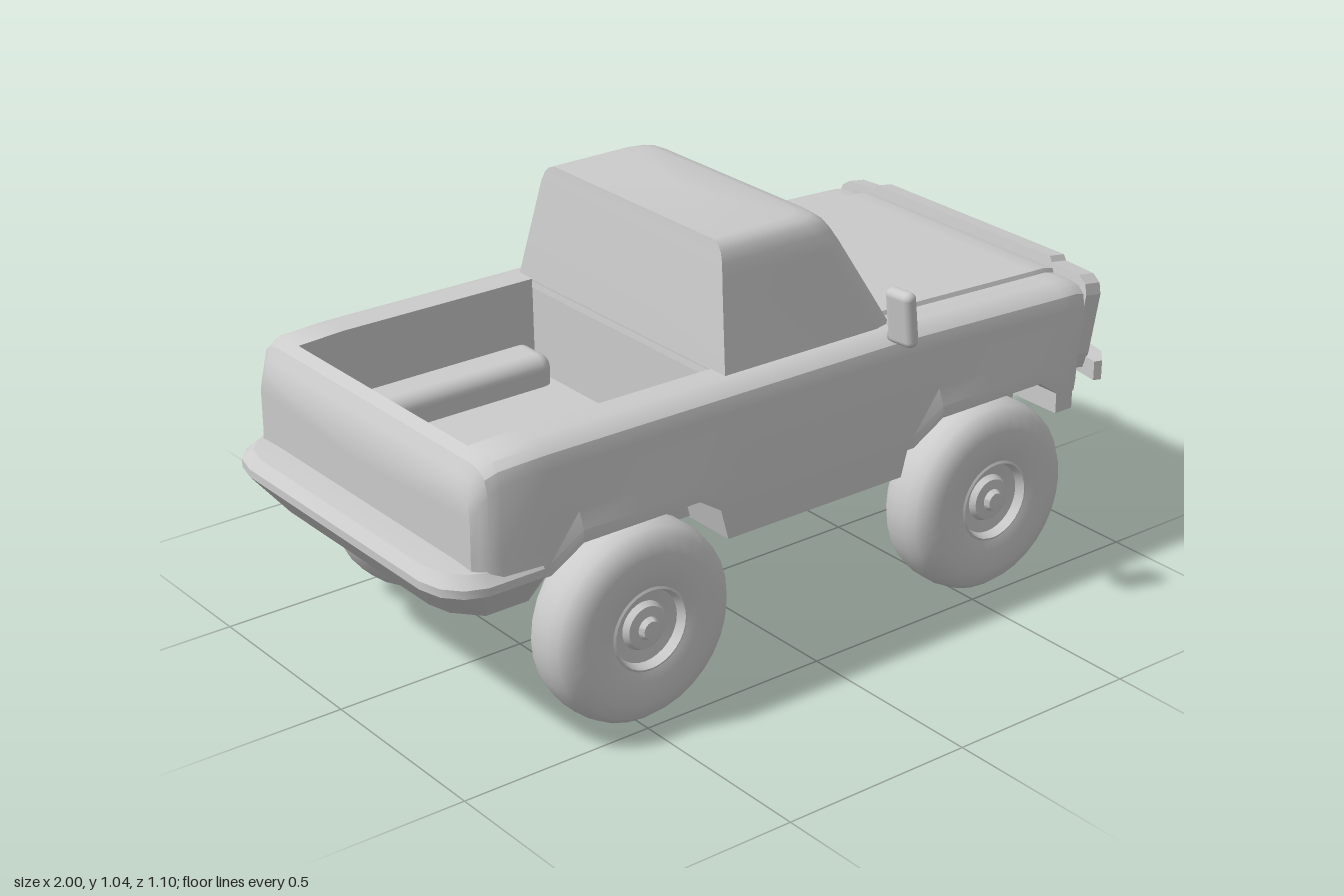
import * as THREE from 'three';
import { toCreasedNormals } from 'three/addons/utils/BufferGeometryUtils.js';
import { RoundedBoxGeometry } from 'three/addons/geometries/RoundedBoxGeometry.js';

const mat = new THREE.MeshStandardMaterial({ color: 0xcccccc });
const AXLES = [-0.485, 0.567];

function add(parent, name, geometry, x = 0, y = 0, z = 0) {
  const m = new THREE.Mesh(geometry, mat);
  m.name = name;
  m.position.set(x, y, z);
  parent.add(m);
  return m;
}

const box = (x0, x1, y0, y1, z0, z1) =>
  new THREE.BoxGeometry(x1 - x0, y1 - y0, z1 - z0).translate((x0 + x1) / 2, (y0 + y1) / 2, (z0 + z1) / 2);

// Skin over closed rings that run counter-clockwise about the direction of travel
function loft(rings, crease = 0.5) {
  const n = rings[0].length, index = [];
  for (let i = 0; i < rings.length - 1; i++) {
    for (let j = 0; j < n; j++) {
      const a = i * n + j, b = i * n + (j + 1) % n;
      index.push(a, b, a + n, b, b + n, a + n);
    }
  }
  const g = new THREE.BufferGeometry();
  g.setAttribute('position', new THREE.Float32BufferAttribute(rings.flat(2), 3));
  g.setIndex(index);
  return toCreasedNormals(g, crease);
}

// Linear interpolation in a list of [x, value]
function lerpTable(t, x) {
  if (x <= t[0][0]) return t[0][1];
  for (let i = 1; i < t.length; i++) {
    if (x <= t[i][0]) return THREE.MathUtils.mapLinear(x, t[i - 1][0], t[i][0], t[i - 1][1], t[i][1]);
  }
  return t[t.length - 1][1];
}

const shapeOf = pts => new THREE.Shape(pts.map(p => new THREE.Vector2(...p)));
const mirrored = half => [...half, ...half.map(([z, y]) => [-z, y]).reverse()];

// Plate drawn in (z, y), its thickness running back from its front plane
function plate(pts, depth, hole) {
  const s = shapeOf(pts);
  if (hole) s.holes.push(shapeOf(hole));
  return new THREE.ExtrudeGeometry(s, { depth, bevelEnabled: false }).rotateY(-Math.PI / 2);
}

// Body section at x, with raised wheel arches and an open bed
const lipTable = AXLES.flatMap(c => [[c - 0.25, 0.45], [c - 0.17, 0.51], [c + 0.15, 0.51], [c + 0.24, 0.45]]);
const topTable = [[-0.915, 0.68], [-0.885, 0.735], [-0.845, 0.755], [0.3, 0.748], [0.85, 0.725], [0.9, 0.71]];
const widthTable = [[-0.915, 0.92], [-0.885, 0.975], [-0.845, 1], [0.84, 1], [0.89, 0.985]];

function bodySection(x) {
  const lip = lerpTable(lipTable, x), R = lerpTable(topTable, x), w = lerpTable(widthTable, x);
  const flare = (lip - 0.45) * 0.2;
  const inBed = x > -0.856 && x < -0.2;
  const T = inBed ? 0.515 : x > 0.3 ? R + 0.01 : R;
  const half = [
    [0, T], [0.34, T], [0.345, R], [0.405, R], [0.435, R - 0.006], [0.455, R - 0.022], [0.465, R - 0.055],
    [0.464, lip + 0.07], [0.468 + flare, lip + 0.03], [0.468 + flare, lip], [0.43, lip], [0.31, lip], [0, 0.45],
  ].map(([z, y]) => [z * w, y]);
  const all = [...half, ...half.slice(1, -1).map(([z, y]) => [-z, y]).reverse()];
  const lean = THREE.MathUtils.clamp((x - 0.8) / 0.09, 0, 1) * 0.15;
  return all.map(([z, y]) => [x + (y - 0.7) * lean, y, z]);
}

function makeBody() {
  const xs = [-0.915, -0.9, -0.885, -0.865, -0.857, -0.8559, -0.735, -0.655, -0.5, -0.335, -0.245, -0.2001, -0.2,
    0, 0.299, 0.317, 0.397, 0.55, 0.717, 0.807, 0.85, 0.875, 0.89];
  const rings = xs.map(bodySection);
  const cap = x => rings[0].map(() => [x, 0.6, 0]);
  return loft([cap(-0.915), ...rings, cap(0.87)]);
}

// Cab: rings of [y, back x, front x, half width]
function makeCab() {
  const ring = ([y, xb, xf, w, r = 0.04]) => {
    const half = [[xb, w], [xf - r * 1.6, w], [xf - r * 0.6, w - r * 0.25], [xf - r * 0.15, w - r * 0.7], [xf, w - r * 1.6]];
    return [...half.map(([x, z]) => [x, y, z]), ...half.reverse().map(([x, z]) => [x, y, -z])];
  };
  const rings = [[0.73, -0.202, 0.325, 0.402], [0.96, -0.172, 0.2, 0.352], [0.995, -0.167, 0.178, 0.345],
    [1.02, -0.163, 0.16, 0.335], [1.034, -0.161, 0.14, 0.322], [1.042, -0.16, 0.11, 0.3]].map(ring);
  rings.push(rings[0].map(() => [0, 1.042, 0]));
  return loft(rings, 0.6);
}

// Wrap-around rear bumper: rings of [y, inset]
function makeRearBumper() {
  const ring = ([y, i]) => {
    const w = 0.472 - i;
    const half = [[-0.755, w], [-0.9 + i / 2, w], [-0.95 + i, w - 0.02], [-0.985 + i, w - 0.06], [-1 + i, w - 0.12]];
    return [...half.map(([x, z]) => [x, y, -z]), ...half.reverse().map(([x, z]) => [x, y, z])];
  };
  const rings = [[0.37, 0.065], [0.455, 0], [0.475, 0], [0.5, 0.02], [0.505, 0.06]].map(ring);
  const cap = y => rings[0].map(() => [-0.85, y, 0]);
  return loft([cap(0.37), ...rings, cap(0.505)]);
}

function makeWheel() {
  const pts = [[0, -0.05], [0.09, -0.05], [0.1, -0.075], [0.13, -0.083], [0.185, -0.083], [0.22, -0.072], [0.238, -0.05],
    [0.245, -0.02], [0.245, 0.02], [0.238, 0.05], [0.22, 0.072], [0.185, 0.083], [0.13, 0.083], [0.104, 0.075],
    [0.098, 0.078], [0.09, 0.055], [0.06, 0.05], [0.052, 0.065], [0.028, 0.068], [0.022, 0.082], [0, 0.083]];
  return toCreasedNormals(new THREE.LatheGeometry(pts.map(p => new THREE.Vector2(...p)), 32), 0.7).rotateX(Math.PI / 2);
}

function makeFrontEnd() {
  const g = new THREE.Group();
  g.name = 'frontEnd';
  const outline = mirrored([[0.32, 0.745], [0.33, 0.732], [0.425, 0.728], [0.45, 0.712], [0.459, 0.685], [0.452, 0.53], [0.44, 0.49]]);
  const opening = mirrored([[0.425, 0.685], [0.405, 0.572]]);
  add(g, 'grilleSurround', plate(outline, 0.05, opening), 0, -0.7, 0);
  add(g, 'grillePanel', plate(opening, 0.02), -0.028, -0.7, 0);
  // Grille slot frame
  const slot = (w, y0, y1, c) => mirrored([[w - c, y1], [w, y1 - c], [w, y0 + c], [w - c, y0]]);
  add(g, 'grilleFrame', plate(slot(0.275, 0.588, 0.662, 0.012), 0.02, slot(0.258, 0.602, 0.648, 0.006)), -0.012, -0.7, 0);
  // Headlights
  for (const s of [-1, 1]) {
    add(g, 'headlightRing', new THREE.TorusGeometry(0.04, 0.007, 8, 28).rotateY(Math.PI / 2), -0.022, -0.073, s * 0.35);
    const lens = new THREE.SphereGeometry(0.036, 24, 12).scale(0.35, 1, 1);
    add(g, 'headlightLens', lens, -0.027, -0.073, s * 0.35);
  }
  g.position.set(0.932, 0.7, 0);
  g.rotation.z = -0.15;
  return g;
}

export function createModel() {
  const model = new THREE.Group();
  model.name = 'pickupTruck';
  add(model, 'body', makeBody());
  add(model, 'cab', makeCab());
  add(model, 'rearBumper', makeRearBumper());
  model.add(makeFrontEnd());

  // Underbody, side skirts and front valance
  add(model, 'underbody', box(-0.8, 0.8, 0.375, 0.48, -0.305, 0.305));
  const skirt = shapeOf([[-0.225, 0.37], [0.3, 0.37], [0.325, 0.46], [-0.25, 0.46]]);
  add(model, 'skirt', new THREE.ExtrudeGeometry(skirt, { depth: 0.89, bevelEnabled: false }), 0, 0, -0.445);
  const valance = mirrored([[0.32, 0.48], [0.26, 0.372]]);
  add(model, 'valance', plate(valance, 0.08), 0.87, 0, 0);
  for (const s of [-1, 1]) {
    add(model, 'frontSkirt', box(0.815, 0.87, 0.39, 0.46, s * 0.375 - 0.065, s * 0.375 + 0.065));
  }

  // Front bumper, swept back at its ends
  const b = [[0.905, 0.43], [0.895, 0.485], [0.915, 0.492], [0.955, 0.45], [0.968, 0.4]];
  const plan = shapeOf([...b, ...b.map(([x, z]) => [x, -z]).reverse()]);
  const bar = new THREE.ExtrudeGeometry(plan, { depth: 0.05, bevelEnabled: false }).rotateX(-Math.PI / 2);
  add(model, 'frontBumper', bar, 0, 0.473, 0);

  // Upright bumper guards
  const guard = shapeOf([[0.85, 0.36], [0.92, 0.36], [0.965, 0.44], [1, 0.54], [1, 0.685], [0.985, 0.7], [0.96, 0.705], [0.945, 0.68], [0.928, 0.51]]);
  const guardGeo = new THREE.ExtrudeGeometry(guard, { depth: 0.036, bevelEnabled: false }).translate(0, 0, -0.018);

  const wheelGeo = makeWheel();
  const strut = [[0.305, 0.46], [0.2, 0.46], [0.21, 0.38], [0.257, 0.205], [0.305, 0.205]];
  for (const s of [-1, 1]) {
    add(model, 'bumperGuard', guardGeo, 0, 0, s * 0.195);

    // Inner wheel housings in the bed
    add(model, 'bedWheelHousing', new RoundedBoxGeometry(0.54, 0.12, 0.14, 4, 0.035), -0.48, 0.53, s * 0.31);

    // Wing mirrors
    const mirror = add(model, 'mirror', new RoundedBoxGeometry(0.036, 0.14, 0.078, 3, 0.017), 0.228, 0.82, s * 0.51);
    mirror.rotation.set(0, s * 0.12, 0.12);
    const arm = new THREE.LineCurve3(new THREE.Vector3(0.265, 0.725, s * 0.43), new THREE.Vector3(0.23, 0.82, s * 0.49));
    add(model, 'mirrorArm', new THREE.TubeGeometry(arm, 1, 0.011, 8));

    // Wheels and suspension struts
    for (const x of AXLES) {
      const wheel = add(model, 'wheel', wheelGeo, x, 0.245, s * 0.417);
      if (s < 0) wheel.rotation.y = Math.PI;
      const pts = strut.map(([z, y]) => [s * z, y]);
      add(model, 'strut', plate(pts, 0.07), x + 0.035, 0, 0);
    }
  }
  for (const x of AXLES) {
    add(model, 'axle', new THREE.CylinderGeometry(0.028, 0.028, 0.76, 16).rotateX(Math.PI / 2), x, 0.252, 0);
  }
  return model;
}
